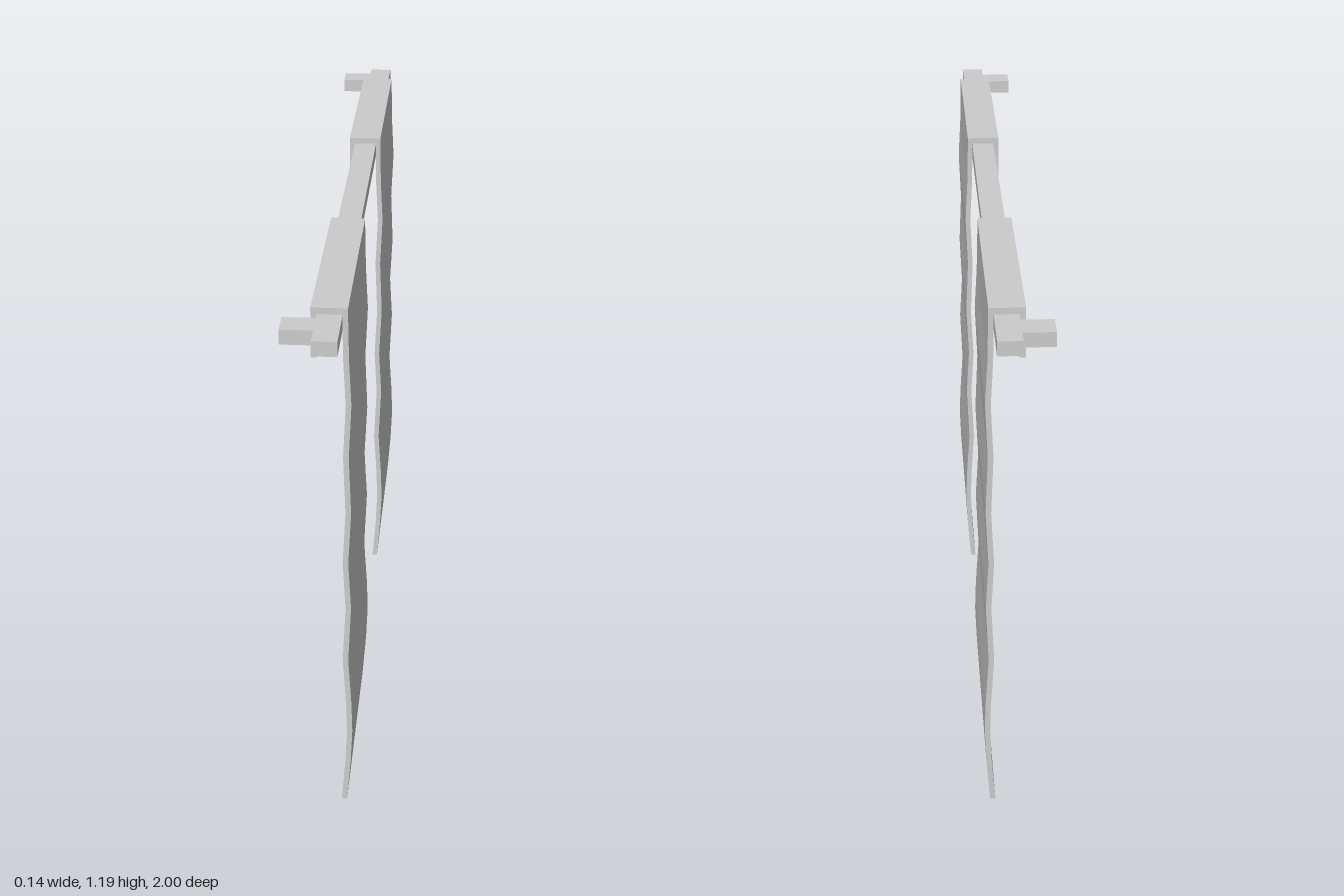
import * as THREE from 'three';

const material = new THREE.MeshStandardMaterial({ color: 0xcccccc, flatShading: true });

// Box given by its limits on each axis
function box(name, [x0, x1], [y0, y1], [z0, z1]) {
  const mesh = new THREE.Mesh(new THREE.BoxGeometry(x1 - x0, y1 - y0, z1 - z0), material);
  mesh.position.set((x0 + x1) / 2, (y0 + y1) / 2, (z0 + z1) / 2);
  mesh.name = name;
  return mesh;
}

// Cloth cross-section: short back flap, fold over the rod, long rippled drop
function clothGeometry(width) {
  const half = 0.006;
  const drop = [
    [0.055, 1.173], [0.057, 1.07], [0.062, 0.97], [0.0565, 0.85], [0.0615, 0.72], [0.0555, 0.6],
    [0.0615, 0.49], [0.0555, 0.36], [0.0625, 0.25], [0.0645, 0.18], [0.061, 0.1], [0.053, 0],
  ];
  const outline = [
    [-0.016, 1.077], [-0.003, 1.077], [-0.003, 1.173],
    ...drop.map(([x, y]) => [x - half, y]),
    ...drop.map(([x, y]) => [x + half, y]).reverse(),
    [0.061, 1.187], [-0.016, 1.187],
  ];
  const shape = new THREE.Shape(outline.map(([x, y]) => new THREE.Vector2(x, y)));
  return new THREE.ExtrudeGeometry(shape, { depth: width, bevelEnabled: false })
    .translate(0, 0, -width / 2);
}

export function createModel() {
  const model = new THREE.Group();
  model.name = 'hangingBanners';

  // Horizontal rod
  model.add(box('rod', [-0.003, 0.05], [1.141, 1.173], [-1, 1]));

  // Wall brackets near the rod ends
  model.add(box('frontBracket', [-0.072, -0.003], [1.141, 1.173], [0.876, 0.944]));
  model.add(box('backBracket', [-0.072, -0.003], [1.141, 1.173], [-0.957, -0.888]));

  // Two cloths draped over the rod
  const geometry = clothGeometry(0.552);
  for (const [name, z] of [['frontCloth', 0.579], ['backCloth', -0.581]]) {
    const cloth = new THREE.Mesh(geometry, material);
    cloth.name = name;
    cloth.position.z = z;
    model.add(cloth);
  }
  return model;
}
